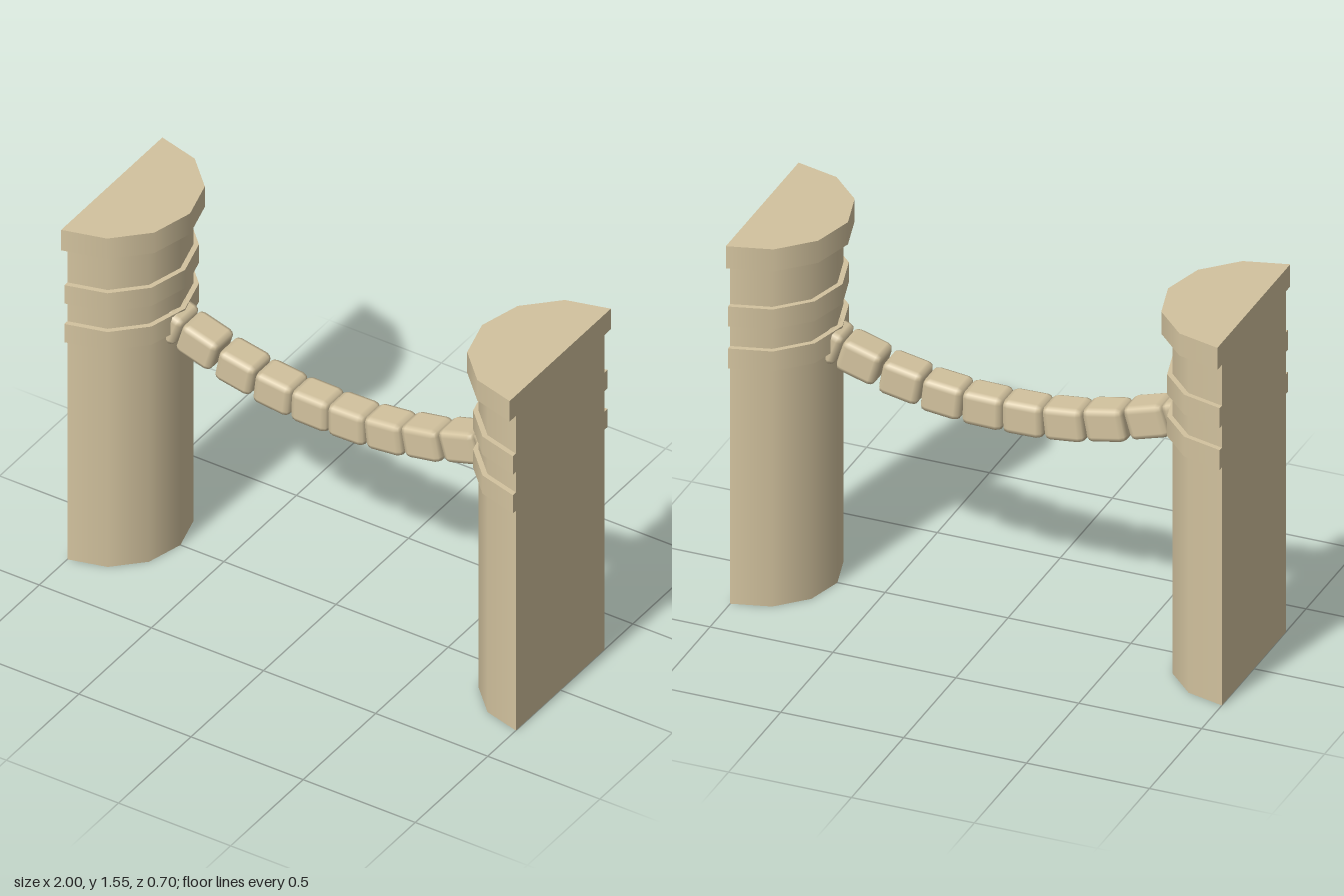
import * as THREE from 'three';
import { RoundedBoxGeometry } from 'three/addons/geometries/RoundedBoxGeometry.js';

const stone = new THREE.MeshStandardMaterial({ color: 0xd2c29e });
stone.name = 'sandstone';

// Half of a twelve-sided drum with a flat closing face at x = 0
function halfDrum(name, radius, y0, y1) {
  const part = new THREE.Group();
  part.name = name;
  const h = y1 - y0;
  const curved = new THREE.Mesh(new THREE.CylinderGeometry(radius, radius, h, 6, 1, false, 0, Math.PI), stone);
  curved.name = name + 'Curve';
  const flat = new THREE.Mesh(new THREE.PlaneGeometry(radius * 2, h), stone);
  flat.name = name + 'FlatSide';
  flat.rotation.y = -Math.PI / 2;
  part.add(curved, flat);
  part.position.y = (y0 + y1) / 2;
  return part;
}

// Half-round pillar: shaft, two raised bands and a cap
function pillar(name) {
  const group = new THREE.Group();
  group.name = name;
  group.add(
    halfDrum('shaft', 0.306, 0, 1.46),
    halfDrum('lowerBand', 0.327, 1.02, 1.105),
    halfDrum('upperBand', 0.327, 1.2, 1.285),
    halfDrum('cap', 0.349, 1.46, 1.555)
  );
  return group;
}

export function createModel() {
  const model = new THREE.Group();
  model.name = 'pillarsWithRope';

  const rightPillar = pillar('rightPillar');
  rightPillar.position.x = -1;
  const leftPillar = pillar('leftPillar');
  leftPillar.position.x = 1;
  leftPillar.rotation.y = Math.PI;
  model.add(rightPillar, leftPillar);

  // Sagging rope of chamfered links: x, y and tilt, mirrored about the middle
  const rope = new THREE.Group();
  rope.name = 'rope';
  const link = new RoundedBoxGeometry(0.166, 0.14, 0.14, 1, 0.026);
  const links = [
    [0.082, 0.896, 0.02],
    [0.248, 0.909, 0.11],
    [0.415, 0.942, 0.19],
    [0.585, 0.993, 0.29],
    [0.742, 1.048, 0.36],
  ];
  for (const side of [-1, 1]) {
    for (const [x, y, tilt] of links) {
      const mesh = new THREE.Mesh(link, stone);
      mesh.name = 'ropeLink';
      mesh.position.set(side * x, y, 0);
      mesh.rotation.z = side * tilt;
      rope.add(mesh);
    }
  }
  model.add(rope);
  return model;
}
